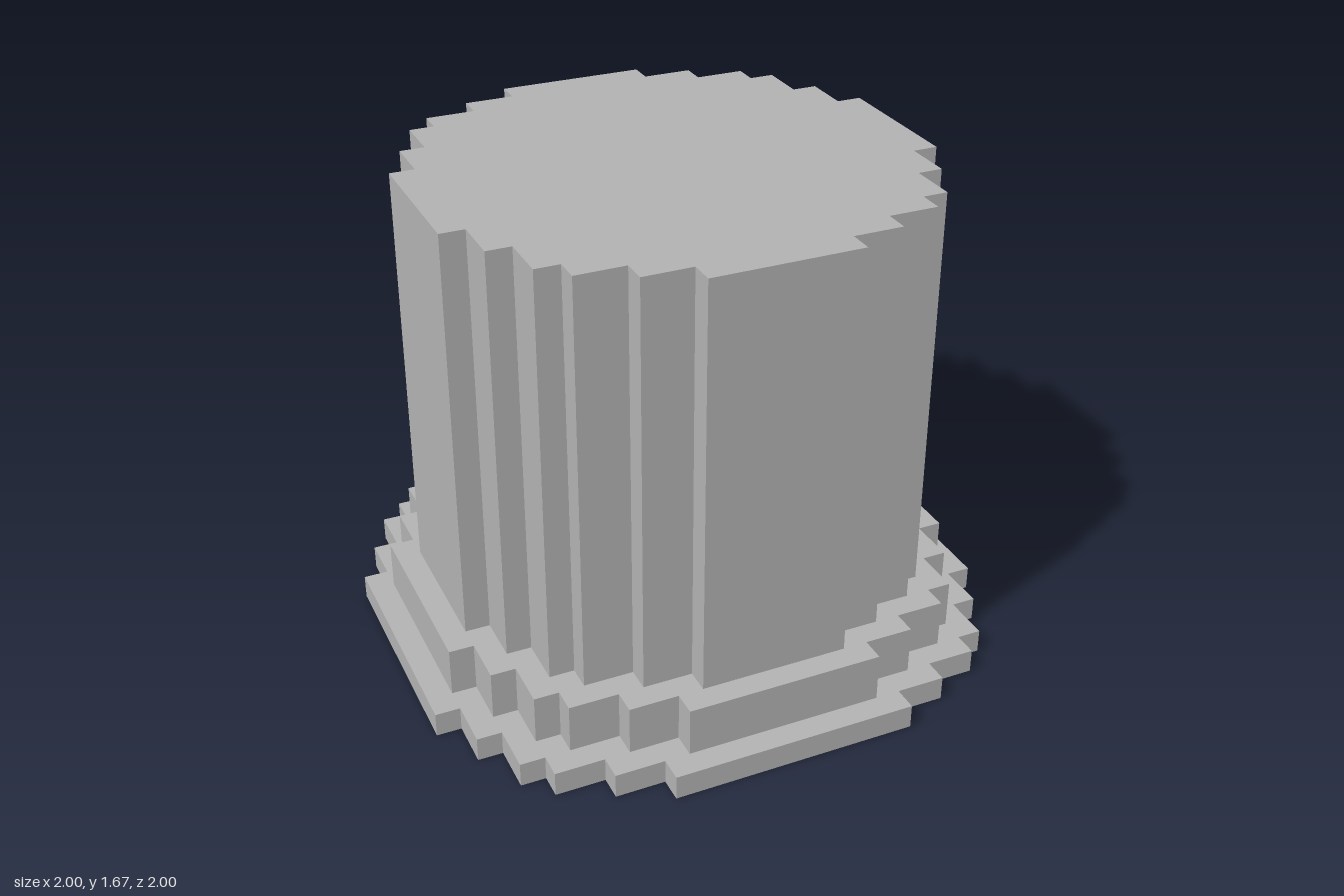
import * as THREE from 'three';

const UNIT = 1 / 12; // one block

// Outer corners of one quarter of the stepped circle (radius 12 blocks)
const CORNERS = [[12, 5], [11, 7], [10, 9], [9, 10], [7, 11], [5, 12]];

// Blocky round outline, shrunk by a number of blocks
function steppedCircle(inset) {
  const quarter = [];
  CORNERS.forEach(([x, y], i) => {
    if (i > 0) quarter.push([x - inset, CORNERS[i - 1][1] - inset]); // inner corner
    quarter.push([x - inset, y - inset]);
  });
  const points = [];
  for (let q = 0; q < 4; q++) {
    for (const [x, y] of quarter) {
      const [px, py] = [[x, y], [-y, x], [-x, -y], [y, -x]][q];
      points.push(new THREE.Vector2(px * UNIT, py * UNIT));
    }
  }
  return new THREE.Shape(points);
}

// Upright prism from block row "bottom" to block row "top"
function tier(name, inset, bottom, top, material) {
  const geometry = new THREE.ExtrudeGeometry(steppedCircle(inset), {
    depth: (top - bottom) * UNIT,
    bevelEnabled: false,
  });
  geometry.rotateX(-Math.PI / 2);
  geometry.translate(0, bottom * UNIT, 0);
  const mesh = new THREE.Mesh(geometry, material);
  mesh.name = name;
  return mesh;
}

export function createModel() {
  const stone = new THREE.MeshStandardMaterial({ color: 0xb2b2b2 });
  stone.name = 'stone grey';

  const model = new THREE.Group();
  model.name = 'steppedColumn';
  model.add(
    tier('basePlate', 0, 0, 1, stone),
    tier('plinth', 1, 1, 3, stone),
    tier('columnShaft', 2, 3, 20, stone),
  );
  return model;
}
